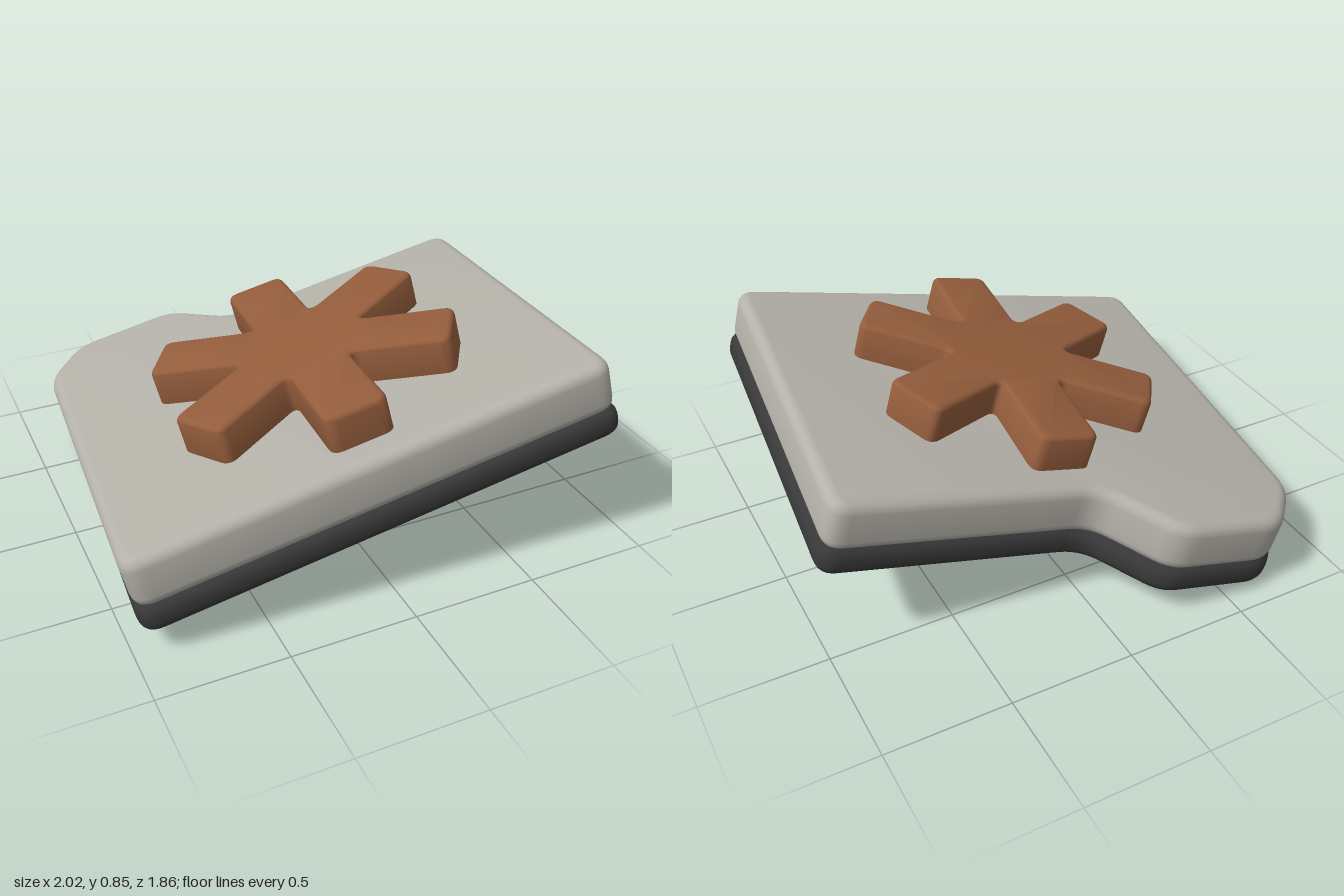
import * as THREE from 'three';
import { toCreasedNormals } from 'three/addons/utils/BufferGeometryUtils.js';

const lightGrey = new THREE.MeshStandardMaterial({ color: 0xb4b1a9 });
lightGrey.name = 'light grey';
const charcoal = new THREE.MeshStandardMaterial({ color: 0x383838 });
charcoal.name = 'charcoal';
const brown = new THREE.MeshStandardMaterial({ color: 0x945d3c });
brown.name = 'brown';

// Closed outline whose corners are rounded, each starting r before the corner
function roundedShape(points, r) {
  const shape = new THREE.Shape();
  points.forEach((p, i) => {
    const prev = points[(i + points.length - 1) % points.length];
    const next = points[(i + 1) % points.length];
    const start = p.clone().add(prev.clone().sub(p).setLength(r));
    const end = p.clone().add(next.clone().sub(p).setLength(r));
    if (i === 0) shape.moveTo(start.x, start.y);
    else shape.lineTo(start.x, start.y);
    shape.quadraticCurveTo(p.x, p.y, end.x, end.y);
  });
  shape.closePath();
  return shape;
}

// Flat slab with soft edges, lying between two heights
function slab(name, points, corner, bottom, top, bevel, material) {
  const geometry = new THREE.ExtrudeGeometry(roundedShape(points, corner), {
    depth: top - bottom - 2 * bevel,
    bevelThickness: bevel,
    bevelSize: bevel,
    bevelOffset: -bevel,
    bevelSegments: 5,
    curveSegments: 6,
  });
  geometry.rotateX(Math.PI / 2);
  geometry.translate(0, top - bevel, 0);
  const mesh = new THREE.Mesh(toCreasedNormals(geometry, 0.6), material);
  mesh.name = name;
  return mesh;
}

// Folder outline with a tab at the back, grown sideways by g
function folderOutline(g) {
  return [
    [-0.96 - g, 0.862 + g], [0.938 + g, 0.862 + g], [0.938 + g, -0.608 - g],
    [-0.11 + g, -0.608 - g], [-0.335 + g, -0.876 - g],
    [-0.79 - g / 2, -0.876 - g], [-0.96 - g, -0.67 - g / 2],
  ].map(([x, y]) => new THREE.Vector2(x, y));
}

// Six-armed star: two tip corners and one inner corner per arm
function starOutline(reach, width, cz) {
  const points = [];
  const add = (radius, angle) => points.push(
    new THREE.Vector2(radius * Math.cos(angle), cz + radius * Math.sin(angle)));
  const tipRadius = Math.hypot(reach, width / 2);
  const tipAngle = Math.atan2(width / 2, reach);
  for (let i = 0; i < 6; i++) {
    const a = Math.PI / 6 + i * Math.PI / 3;
    add(tipRadius, a - tipAngle);
    add(tipRadius, a + tipAngle);
    add(width, a + Math.PI / 6);
  }
  return points;
}

export function createModel() {
  const model = new THREE.Group();
  model.name = 'folderIcon';

  // Tilted assembly
  const folder = new THREE.Group();
  folder.name = 'folder';
  folder.add(
    slab('folderBody', folderOutline(0), 0.08, -0.105, 0.105, 0.045, lightGrey),
    slab('folderBase', folderOutline(0.008), 0.08, -0.215, -0.09, 0.05, charcoal),
    slab('starEmblem', starOutline(0.605, 0.25, 0.126), 0.045, 0.07, 0.255, 0.025, brown),
  );
  const across = new THREE.Vector3(0.971, 0.228, 0.07).normalize();
  const up = new THREE.Vector3(-0.0835, 0.0656, 0.994).cross(across).normalize();
  const forward = across.clone().cross(up);
  folder.quaternion.setFromRotationMatrix(new THREE.Matrix4().makeBasis(across, up, forward));
  model.add(folder);

  // Rest on the ground, centred
  model.updateMatrixWorld(true);
  const box = new THREE.Box3().setFromObject(model, true);
  const centre = box.getCenter(new THREE.Vector3());
  folder.position.set(-centre.x, -box.min.y, -centre.z);
  return model;
}
